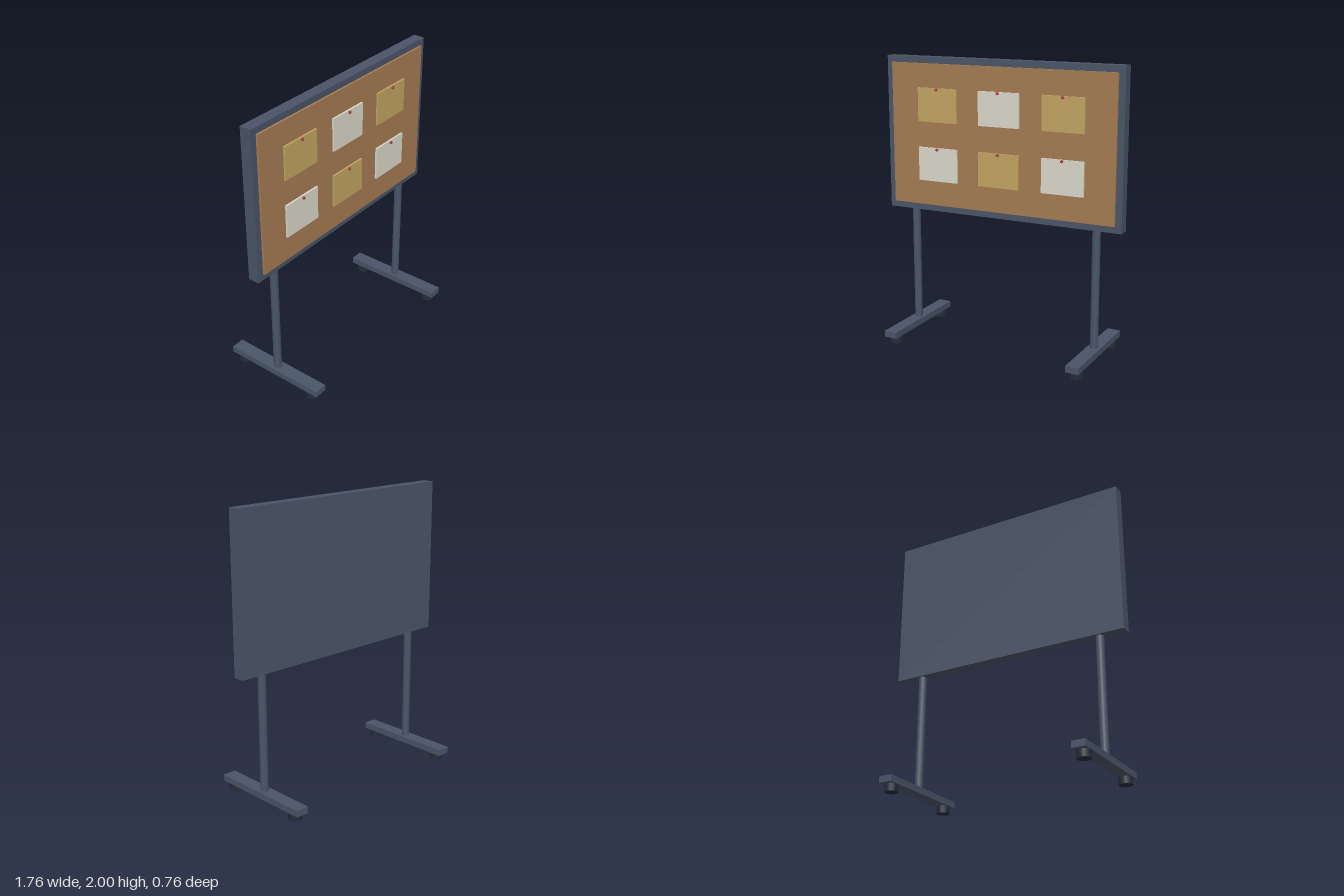
import * as THREE from 'three';

const material = (color) => new THREE.MeshStandardMaterial({ color });

export function createModel() {
  const group = new THREE.Group();
  const steel = material(0x4a5568);
  const cork = material(0xa67c52);
  const rubber = material(0x252d3a);
  const cream = material(0xdcd8cc);
  const yellow = material(0xc2a562);
  const red = material(0xa84848);

  const add = (name, geometry, mat, x, y, z) => {
    const mesh = new THREE.Mesh(geometry, mat);
    mesh.name = name;
    mesh.position.set(x, y, z);
    group.add(mesh);
    return mesh;
  };

  // Board body and the cork sheet on its front
  add('boardFrame', new THREE.BoxGeometry(1.76, 1.08, 0.08), steel, 0, 1.46, 0);
  add('corkPanel', new THREE.BoxGeometry(1.67, 0.99, 0.015), cork, 0, 1.461, 0.0475);

  // Two rows of notes in alternating colours, each with a pin
  const noteGeometry = new THREE.BoxGeometry(0.304, 0.235, 0.013);
  const pinGeometry = new THREE.CylinderGeometry(0.01, 0.01, 0.011, 12).rotateX(Math.PI / 2);
  [1.673, 1.258].forEach((y, row) => {
    [-0.47, 0, 0.47].forEach((x, column) => {
      add('note', noteGeometry, (row + column) % 2 ? cream : yellow, x, y, 0.0615);
      add('pin', pinGeometry, red, x, y + 0.109, 0.079);
    });
  });

  // Stand: post, foot and two round pads on each side
  const postGeometry = new THREE.CylinderGeometry(0.028, 0.028, 0.83, 16);
  const footGeometry = new THREE.BoxGeometry(0.094, 0.045, 0.76);
  const padGeometry = new THREE.CylinderGeometry(0.046, 0.046, 0.052, 16);
  for (const side of [-1, 1]) {
    const x = side * 0.693;
    add('post', postGeometry, steel, x, 0.508, 0);
    add('foot', footGeometry, steel, x, 0.0735, 0);
    for (const end of [-1, 1]) add('footPad', padGeometry, rubber, x, 0.026, end * 0.305);
  }
  return group;
}
